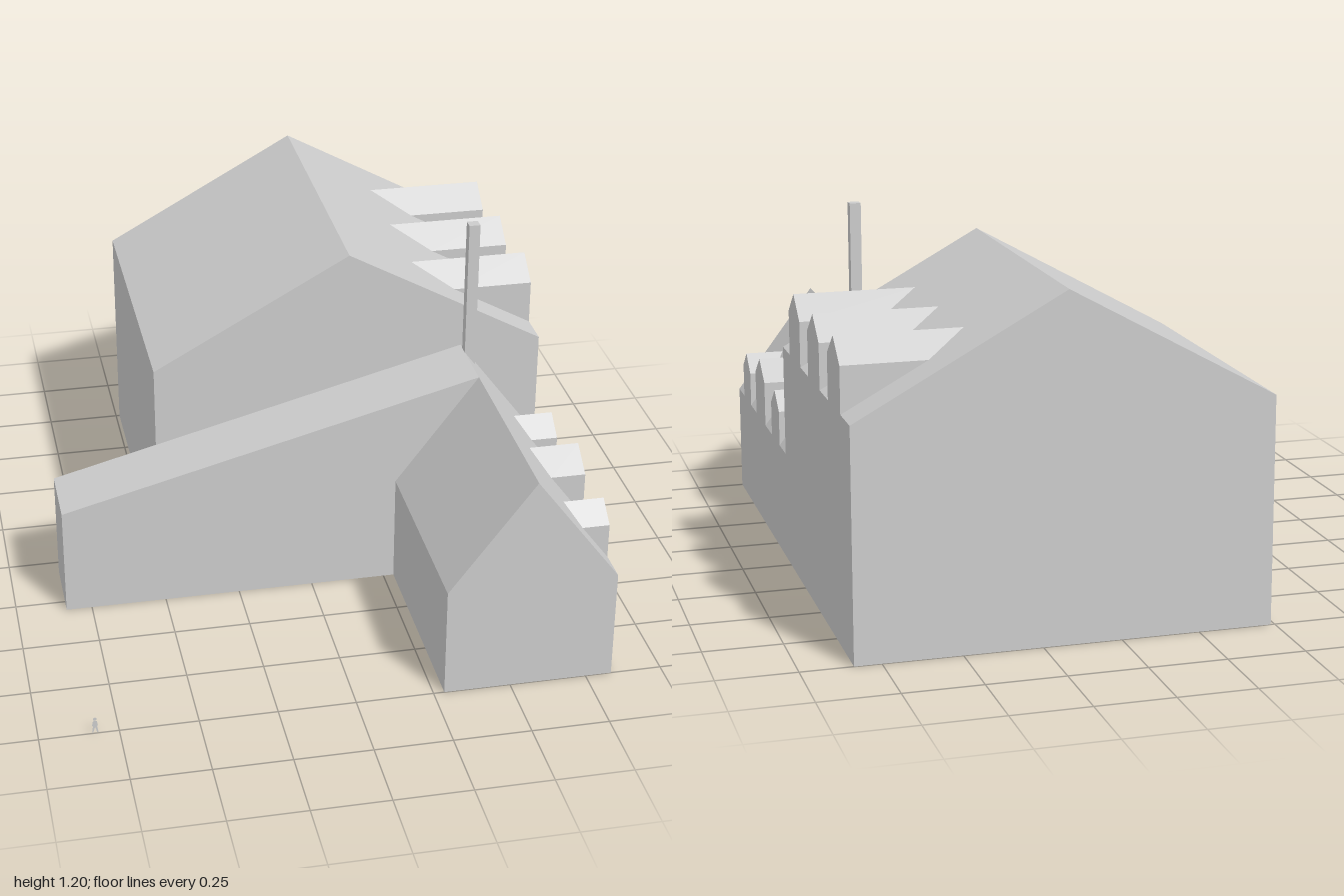
import * as THREE from 'three';

const material = new THREE.MeshStandardMaterial({ color: 0xcccccc, flatShading: true });
const EAST = 0.835; // shared flush wall on the model's left

const shapeOf = (points) => new THREE.Shape(points.map(([x, y]) => new THREE.Vector2(x, y)));

// Building volume: front outline extruded from z0 to z1
function volume(name, points, z0, z1) {
  const geometry = new THREE.ExtrudeGeometry(shapeOf(points), { depth: z1 - z0, bevelEnabled: false });
  geometry.translate(0, 0, z0);
  const mesh = new THREE.Mesh(geometry, material);
  mesh.name = name;
  return mesh;
}

// Gabled dormer flush with the wall, its rear cut to lie on the roof slope
function dormer(name, roof, z, width, wallTop, peak) {
  const h = width / 2;
  const outline = shapeOf([[-h, roof.eaveY], [h, roof.eaveY], [h, wallTop], [0, peak], [-h, wallTop]]);
  const geometry = new THREE.ExtrudeGeometry(outline, { depth: 1, bevelEnabled: false });
  geometry.rotateY(Math.PI / 2);
  const p = geometry.attributes.position;
  for (let i = 0; i < p.count; i++) {
    const t = (p.getY(i) - roof.eaveY) / (roof.ridgeY - roof.eaveY);
    const onRoof = EAST + (roof.ridgeX - EAST) * t;
    p.setX(i, p.getX(i) > 0.5 ? EAST : onRoof);
  }
  geometry.translate(0, 0, z);
  geometry.computeVertexNormals();
  const mesh = new THREE.Mesh(geometry, material);
  mesh.name = name;
  return mesh;
}

// Flat scale figure standing beside the building
function scaleFigure() {
  const flat = material.clone();
  flat.side = THREE.DoubleSide;
  const group = new THREE.Group();
  group.name = 'scaleFigure';
  const body = shapeOf([
    [-0.010, 0], [-0.006, 0], [0, 0.020], [0.006, 0], [0.010, 0],
    [0.006, 0.025], [0.010, 0.022], [0.006, 0.042], [-0.006, 0.042], [-0.010, 0.022], [-0.006, 0.025],
  ]);
  const torso = new THREE.Mesh(new THREE.ShapeGeometry(body), flat);
  torso.name = 'figureBody';
  const head = new THREE.Mesh(new THREE.CircleGeometry(0.006, 10), flat);
  head.name = 'figureHead';
  head.position.y = 0.049;
  group.add(torso, head);
  group.position.set(-0.824, 0, 0.995);
  return group;
}

export function createModel() {
  const model = new THREE.Group();
  model.name = 'house';

  // Three gabled volumes
  model.add(
    volume('mainHall', [[-0.487, 0], [EAST, 0], [EAST, 0.737], [0.172, 1.102], [-0.487, 0.737]], -1, 0.06),
    volume('sideWing', [[-0.835, 0], [EAST, 0], [EAST, 0.37], [0.56, 0.735], [-0.835, 0.37]], 0.06, 0.3),
    volume('frontWing', [[0.285, 0], [EAST, 0], [EAST, 0.37], [0.56, 0.735], [0.285, 0.37]], 0.3, 1),
  );

  // Large dormers on the hall, smaller ones on the front wing
  const hallRoof = { eaveY: 0.737, ridgeX: 0.172, ridgeY: 1.102 };
  const wingRoof = { eaveY: 0.37, ridgeX: 0.56, ridgeY: 0.735 };
  [-0.153, -0.466, -0.777].forEach((z) => model.add(dormer('hallDormer', hallRoof, z, 0.184, 0.885, 0.957)));
  [0.245, 0.816].forEach((z) => model.add(dormer('wingDormer', wingRoof, z, 0.147, 0.487, 0.545)));
  model.add(dormer('wingDormerCentre', wingRoof, 0.537, 0.182, 0.522, 0.588));

  // Slim chimney rising from the wing ridge
  const chimney = new THREE.Mesh(new THREE.BoxGeometry(0.037, 0.515, 0.035), material);
  chimney.name = 'chimney';
  chimney.position.set(0.578, 0.943, 0.102);
  model.add(chimney);

  model.add(scaleFigure());
  return model;
}
